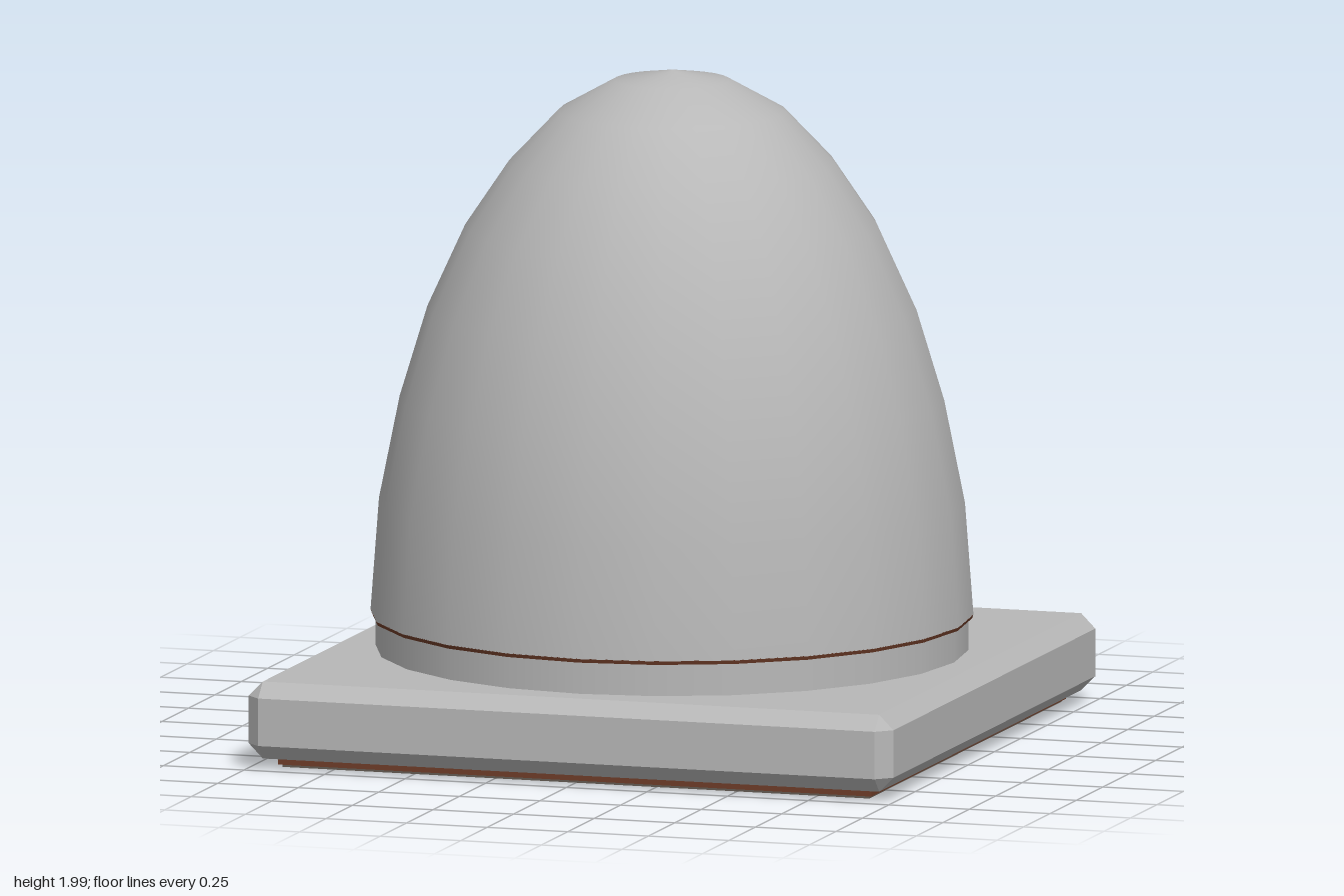
import * as THREE from 'three';
import { ConvexGeometry } from 'three/addons/geometries/ConvexGeometry.js';

const SIDES = 24;

// Box with every edge cut by a flat chamfer
function chamferedBox(half, y0, y1, c) {
  const mid = (y0 + y1) / 2, h = (y1 - y0) / 2;
  const points = [];
  for (const sx of [-1, 1]) for (const sy of [-1, 1]) for (const sz of [-1, 1]) {
    const add = (x, y, z) => points.push(new THREE.Vector3(sx * x, mid + sy * y, sz * z));
    add(half, h - c, half - c);
    add(half - c, h, half - c);
    add(half - c, h - c, half);
  }
  return new ConvexGeometry(points);
}

export function createModel() {
  const grey = new THREE.MeshStandardMaterial({ name: 'light grey', color: 0xb8b8b8 });
  const rust = new THREE.MeshStandardMaterial({ name: 'rust brown', color: 0x6e3c28 });
  const dark = new THREE.MeshStandardMaterial({ name: 'dark brown grey', color: 0x635a51 });

  const model = new THREE.Group();
  const add = (name, geometry, material, y = 0) => {
    const mesh = new THREE.Mesh(geometry, material);
    mesh.name = name;
    mesh.position.y = y;
    model.add(mesh);
  };

  // Square foot: dark underside, thin rust edge, chamfered slab
  add('footPad', new THREE.BoxGeometry(1.82, 0.008, 1.82), dark, 0.004);
  add('footEdge', new THREE.BoxGeometry(1.84, 0.026, 1.84), rust, 0.021);
  add('baseSlab', chamferedBox(1, 0.03, 0.26, 0.044), grey);

  // Collar and thin seal under the dome
  add('collar', new THREE.CylinderGeometry(0.875, 0.875, 0.12, SIDES), grey, 0.3);
  add('sealRing', new THREE.CylinderGeometry(0.89, 0.886, 0.012, SIDES), rust, 0.361);

  // Egg-shaped dome
  const profile = [
    [0.89, 0.366], [0.865, 0.7], [0.804, 1.005], [0.722, 1.275], [0.61, 1.52],
    [0.48, 1.713], [0.335, 1.865], [0.17, 1.957], [0, 1.987],
  ].map(([r, y]) => new THREE.Vector2(r, y));
  add('dome', new THREE.LatheGeometry(profile, SIDES), grey);

  return model;
}
